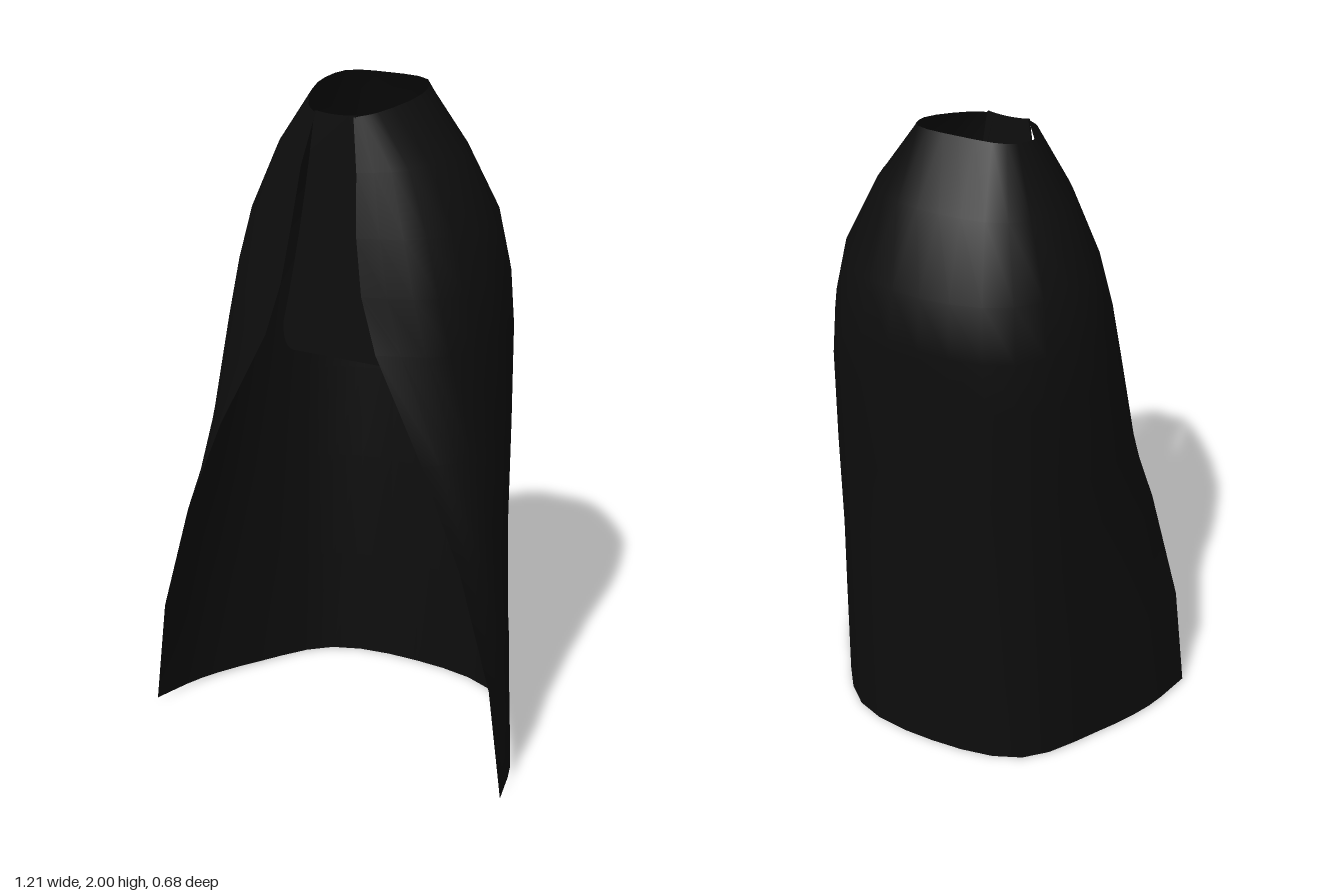
import * as THREE from 'three';

const COLUMNS = 24;
const STEPS = 3; // spline steps between two rows would be 1; columns per control span

// Each row: height, tilt of height along z, then half section [x, z] from back centre to front edge
const ROWS = [
  [1.984, -0.2, [[0, -0.088], [0.135, -0.068], [0.168, 0.03], [0.11, 0.18], [0.06, 0.228]]],
  [1.81, -0.06, [[0, -0.21], [0.19, -0.17], [0.288, 0.0], [0.21, 0.185], [0.088, 0.263]]],
  [1.62, 0, [[0, -0.325], [0.25, -0.255], [0.375, -0.02], [0.28, 0.21], [0.105, 0.295]]],
  [1.46, 0, [[0, -0.343], [0.27, -0.285], [0.407, -0.03], [0.325, 0.225], [0.13, 0.313]]],
  [1.3, 0, [[0, -0.336], [0.285, -0.28], [0.426, -0.02], [0.365, 0.225], [0.18, 0.322]]],
  [1.0, 0, [[0, -0.316], [0.29, -0.265], [0.435, -0.02], [0.432, 0.215], [0.335, 0.334]]],
  [0.7, 0, [[0, -0.304], [0.29, -0.25], [0.442, -0.02], [0.49, 0.2], [0.46, 0.338]]],
  [0.35, 0, [[0, -0.296], [0.29, -0.24], [0.452, -0.02], [0.535, 0.17], [0.56, 0.34]]],
  [0.004, 0.015, [[0, -0.29], [0.29, -0.235], [0.455, -0.02], [0.555, 0.165], [0.604, 0.34]]],
];

// Full smooth section: right front edge, round the back, to the left front edge
function sectionPoints([y, tilt, half]) {
  const mirrored = half.slice(1).reverse().map(([x, z]) => [-x, z]);
  const points = [...mirrored, ...half].map(([x, z]) => new THREE.Vector3(x, y + tilt * z, z));
  return new THREE.CatmullRomCurve3(points).getPoints(COLUMNS);
}

// Skin the sections into one open sheet
function clothGeometry() {
  const positions = [];
  const indices = [];
  ROWS.forEach((row, r) => {
    sectionPoints(row).forEach((p, c) => {
      positions.push(p.x, p.y, p.z);
      if (r === ROWS.length - 1 || c === COLUMNS) return;
      const a = r * (COLUMNS + 1) + c;
      const b = a + COLUMNS + 1;
      indices.push(a, a + 1, b, a + 1, b + 1, b);
    });
  });
  const geometry = new THREE.BufferGeometry();
  geometry.setAttribute('position', new THREE.Float32BufferAttribute(positions, 3));
  geometry.setIndex(indices);
  geometry.computeVertexNormals();
  return geometry;
}

// Chest panel with rounded lower corners, closing the front below the neck
function panelGeometry() {
  const shape = new THREE.Shape();
  shape.moveTo(-0.065, 1.943);
  shape.quadraticCurveTo(0, 1.932, 0.065, 1.943);
  shape.quadraticCurveTo(0.11, 1.6, 0.178, 1.31);
  shape.quadraticCurveTo(0.18, 1.235, 0.145, 1.232);
  shape.lineTo(-0.145, 1.232);
  shape.quadraticCurveTo(-0.18, 1.235, -0.178, 1.31);
  shape.quadraticCurveTo(-0.11, 1.6, -0.065, 1.943);
  return new THREE.ExtrudeGeometry(shape, { depth: 0.009, bevelEnabled: false, curveSegments: 6 });
}

export function createModel() {
  const model = new THREE.Group();
  model.name = 'cape';
  const blackCloth = new THREE.MeshStandardMaterial({ color: 0x0d0d0d, side: THREE.DoubleSide });
  blackCloth.name = 'black cloth';

  const cloak = new THREE.Mesh(clothGeometry(), blackCloth);
  cloak.name = 'cloak';
  model.add(cloak);

  const chestPanel = new THREE.Mesh(panelGeometry(), blackCloth);
  chestPanel.name = 'chestPanel';
  chestPanel.position.z = 0.216;
  model.add(chestPanel);
  return model;
}
